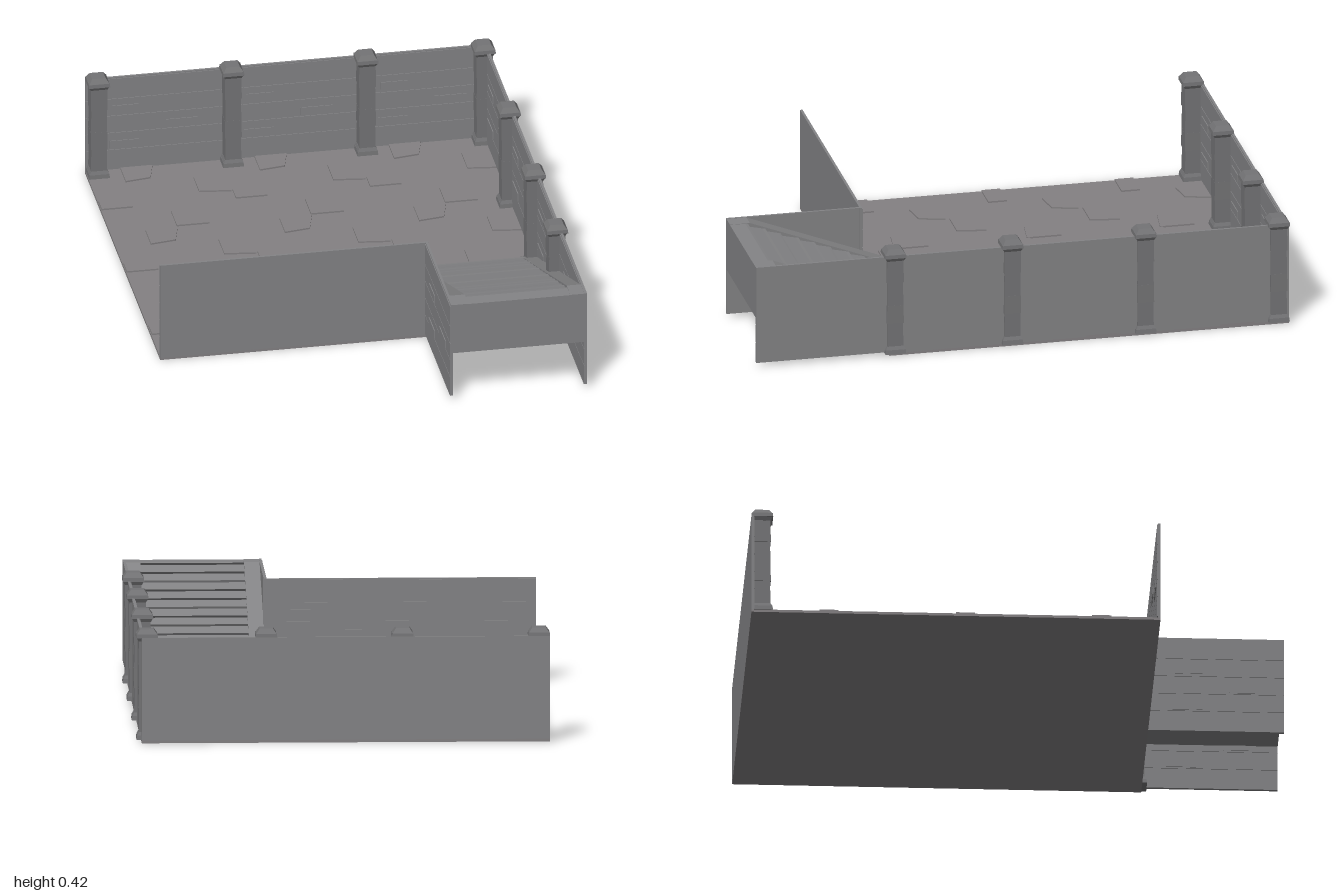
import * as THREE from 'three';

const material = (color) => new THREE.MeshStandardMaterial({ color, flatShading: true, side: THREE.DoubleSide });
const wallStone = material(0x848486);
const floorStone = material(0x848183);
const pillarStone = material(0x747476);

function add(parent, name, geometry, mat) {
  const mesh = new THREE.Mesh(geometry, mat);
  mesh.name = name;
  parent.add(mesh);
}

// Box given by its minimum and maximum corners
function block(parent, name, [x0, y0, z0], [x1, y1, z1], mat) {
  const g = new THREE.BoxGeometry(x1 - x0, y1 - y0, z1 - z0);
  g.translate((x0 + x1) / 2, (y0 + y1) / 2, (z0 + z1) / 2);
  add(parent, name, g, mat);
}

// Square tapered block between two heights
function frustum(parent, name, y0, y1, w0, w1) {
  const g = new THREE.CylinderGeometry(w1 * Math.SQRT1_2, w0 * Math.SQRT1_2, y1 - y0, 4);
  g.rotateY(Math.PI / 4);
  g.translate(0, (y0 + y1) / 2, 0);
  add(parent, name, g, pillarStone);
}

// Side profile of [z, y] points, swept from x0 to x1
function sweep(parent, name, points, x0, x1) {
  const shape = new THREE.Shape(points.map(([z, y]) => new THREE.Vector2(z, y)));
  const g = new THREE.ExtrudeGeometry(shape, { depth: x1 - x0, bevelEnabled: false });
  g.rotateY(-Math.PI / 2);
  g.translate(x1, 0, 0);
  add(parent, name, g, wallStone);
}

function pillar(x, z) {
  const group = new THREE.Group();
  group.name = 'pillar';
  frustum(group, 'pillarFoot', 0.012, 0.028, 0.078, 0.074);
  frustum(group, 'pillarFootBevel', 0.028, 0.04, 0.072, 0.062);
  // Shaft of stacked stones
  const heights = [0.04, 0.13, 0.2, 0.29, 0.375];
  for (let i = 0; i < 4; i++) {
    const w = 0.06 + 0.003 * (i % 2);
    frustum(group, 'pillarShaftStone', heights[i], heights[i + 1], w, w - 0.002);
  }
  frustum(group, 'pillarCapNeck', 0.375, 0.388, 0.062, 0.076);
  frustum(group, 'pillarCap', 0.388, 0.402, 0.08, 0.077);
  frustum(group, 'pillarCapTop', 0.402, 0.42, 0.074, 0.05);
  group.position.set(x, 0, z);
  return group;
}

// Wall panel along x, plain at the back and with stone relief towards +z
function wallPanel(length, y0) {
  const group = new THREE.Group();
  group.name = 'wallPanel';
  block(group, 'wallSlab', [0, y0, 0], [length, 0.39, 0.009], wallStone);
  const courses = [0.015, 0.095, 0.165, 0.235, 0.305, 0.388];
  for (let i = 0; i < 5; i++) {
    block(group, 'stoneCourse', [0, courses[i], 0.009], [length, courses[i + 1] - 0.003, 0.012], wallStone);
  }
  // Stones that stand proud of the wall
  for (const [x, y, w] of [[0.09, 0.1, 0.11], [0.3, 0.17, 0.12], [0.1, 0.245, 0.1]]) {
    block(group, 'proudStone', [x, y, 0.012], [x + w, y + 0.03, 0.015], wallStone);
  }
  return group;
}

// One straight run of stairs; its far half stands clear of the ground
function staircase() {
  const group = new THREE.Group();
  group.name = 'staircase';
  const underside = [[1, 0.19], [0.5, 0.19], [0.5, 0.005]];
  const steps = 16, run = 1 / steps;

  // Treads with worn, uneven nosings
  const profile = [[0.025, 0.005]];
  for (let i = 0; i < steps; i++) {
    const z = i * run + (i ? 0 : 0.025), y = 0.013 + 0.0234 * (i + 1);
    const nose = 0.006 + 0.003 * Math.sin(i * 2.3);
    profile.push([z, y - 0.01], [z - nose, y - 0.002], [z + 0.004, y]);
  }
  profile.push([1, 0.388], ...underside);
  sweep(group, 'steps', profile, 0.29, 0.68);

  // Sloping side stringers
  const side = [[0, 0.005], [0, 0.03], [0.02, 0.042], [0.925, 0.389], [1, 0.389], ...underside];
  sweep(group, 'leftStringer', side, 0.675, 0.728);
  sweep(group, 'rightStringer', side, 0.237, 0.295);
  return group;
}

export function createModel() {
  const model = new THREE.Group();
  model.name = 'walledCourtWithStairs';

  // Floor with a repeating pattern of raised flagstones
  block(model, 'floor', [-0.76, 0, -1], [0.737, 0.01, 0.5], floorStone);
  const flagstones = [
    [[0.13, 0.01], [0.25, 0.01], [0.225, 0.105], [0.13, 0.12]],
    [[0.25, 0.38], [0.39, 0.387], [0.372, 0.495], [0.25, 0.495]],
    [[0.38, 0.13], [0.497, 0.13], [0.497, 0.26], [0.38, 0.245]],
    [[0.003, 0.25], [0.12, 0.25], [0.12, 0.32], [0.003, 0.32]],
  ];
  for (let i = 0; i < 3; i++) {
    for (let j = 0; j < 3; j++) {
      if (i === 2 && j === 2) continue; // under the stairs
      for (const corners of flagstones) {
        const shape = new THREE.Shape(corners.map(([x, z]) => new THREE.Vector2(x, -z)));
        const g = new THREE.ExtrudeGeometry(shape, { depth: 0.006, bevelEnabled: false });
        g.rotateX(-Math.PI / 2);
        g.translate(-0.76 + 0.5 * i, 0.01, -1 + 0.5 * j);
        add(model, 'flagstone', g, floorStone);
      }
    }
  }

  // Placed wall panels, turned so the relief faces inwards
  const place = (name, x, z, angle, y0, length = 0.5) => {
    const panel = wallPanel(length, y0);
    panel.name = name;
    panel.position.set(x, 0, z);
    panel.rotation.y = angle;
    model.add(panel);
  };
  for (let i = 0; i < 3; i++) place('backWall', -0.76 + 0.5 * i, -1, 0, 0.005, i === 2 ? 0.497 : 0.5);
  for (let i = 0; i < 4; i++) place('leftWall', 0.737, -1 + 0.5 * i, -Math.PI / 2, i === 3 ? 0.015 : 0.005);
  for (let i = 0; i < 2; i++) place('frontWall', 0.24 - 0.5 * i, 0.5, Math.PI, 0.005);
  place('stairSideWall', 0.238, 0.5, -Math.PI / 2, 0.015);

  model.add(staircase());

  // Pillars along the back and left walls
  for (const x of [-0.72, -0.22, 0.28, 0.717]) model.add(pillar(x, -0.96));
  for (const z of [-0.46, 0.04, 0.48]) model.add(pillar(0.717, z));

  return model;
}
